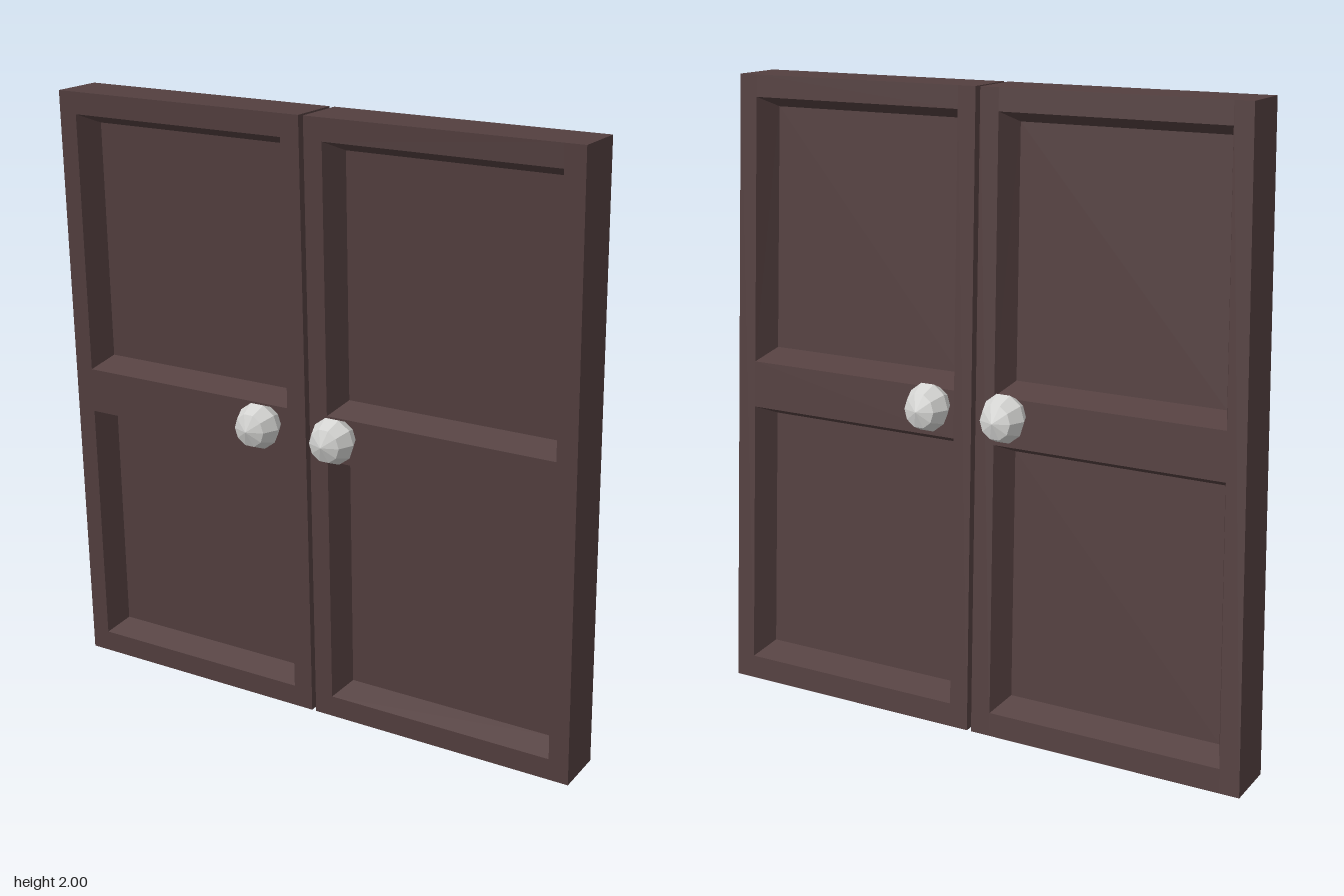
import * as THREE from 'three';

const wood = new THREE.MeshStandardMaterial({ color: 0x533f3f });
wood.name = 'dark wood';
const metal = new THREE.MeshStandardMaterial({ color: 0xd4d4d2, flatShading: true });
metal.name = 'pale metal';

const lerp = THREE.MathUtils.lerp;
const HALF = 0.0875; // half thickness of a door
const LEAN = 0.09; // forward lean per unit of height

// One leaning door with two recessed panels on each face.
// bottom and top are the [left, right] x edges at y = 0 and y = 2.
function createDoor(name, bottom, top) {
  const positions = [];
  // u runs across the door, y is height, w runs from back (-1) to front (1)
  const point = (u, y, w) => {
    const t = y / 2;
    return [
      lerp(lerp(bottom[0], top[0], t), lerp(bottom[1], top[1], t), u),
      y,
      -0.102 + LEAN * y + w * HALF,
    ];
  };
  const quad = (a, b, c, d, flip = false) => {
    const order = flip ? [a, c, b, a, d, c] : [a, b, c, a, c, d];
    for (const p of order) positions.push(...point(...p));
  };
  const rect = (u0, u1, y0, y1, w) => [[u0, y0, w], [u1, y0, w], [u1, y1, w], [u0, y1, w]];

  const uL = 0.07, uR = 0.927, inset = 0.037;
  const openings = [[0.075, 0.93], [1.08, 1.93]];
  const rails = [[0, 0.075], [0.93, 1.08], [1.93, 2]];

  for (const side of [1, -1]) {
    const flip = side < 0;
    // stiles and rails
    quad(...rect(0, uL, 0, 2, side), flip);
    quad(...rect(uR, 1, 0, 2, side), flip);
    for (const [y0, y1] of rails) quad(...rect(uL, uR, y0, y1, side), flip);
    // sloped recess walls and the panel behind them
    for (const [y0, y1] of openings) {
      const outer = rect(uL, uR, y0, y1, side);
      const inner = rect(uL + inset, uR - inset, y0 + 0.035, y1 - 0.035, side * 0.08);
      for (let i = 0; i < 4; i++) {
        const j = (i + 1) % 4;
        quad(outer[i], outer[j], inner[j], inner[i], flip);
      }
      quad(...inner, flip);
    }
  }
  // outer edges
  const front = rect(0, 1, 0, 2, 1);
  const back = rect(0, 1, 0, 2, -1);
  for (let i = 0; i < 4; i++) {
    const j = (i + 1) % 4;
    quad(back[i], back[j], front[j], front[i]);
  }

  const geometry = new THREE.BufferGeometry();
  geometry.setAttribute('position', new THREE.Float32BufferAttribute(positions, 3));
  geometry.computeVertexNormals();
  const mesh = new THREE.Mesh(geometry, wood);
  mesh.name = name;
  return mesh;
}

// Faceted knob, sheared along with the leaning door
function createKnob(name, x, z) {
  const geometry = new THREE.SphereGeometry(0.073, 10, 4);
  geometry.rotateX(Math.PI / 2);
  geometry.scale(1, 1.05, 0.97);
  const shear = new THREE.Matrix4().set(
    1, 0.03, 0, 0,
    0, 1, 0, 0,
    0, LEAN, 1, 0,
    0, 0, 0, 1,
  );
  geometry.applyMatrix4(shear);
  geometry.computeVertexNormals();
  const mesh = new THREE.Mesh(geometry, metal);
  mesh.position.set(x, 1.033, z);
  mesh.name = name;
  return mesh;
}

export function createModel() {
  const group = new THREE.Group();
  group.name = 'doubleDoor';
  group.add(createDoor('rightDoor', [-0.925, -0.02], [-0.82, 0.043]));
  group.add(createDoor('leftDoor', [-0.005, 0.895], [0.059, 0.923]));
  for (const [side, x] of [['right', -0.112], ['left', 0.153]]) {
    group.add(createKnob(side + 'FrontKnob', x, 0.154));
    group.add(createKnob(side + 'BackKnob', x, -0.15));
  }
  return group;
}
